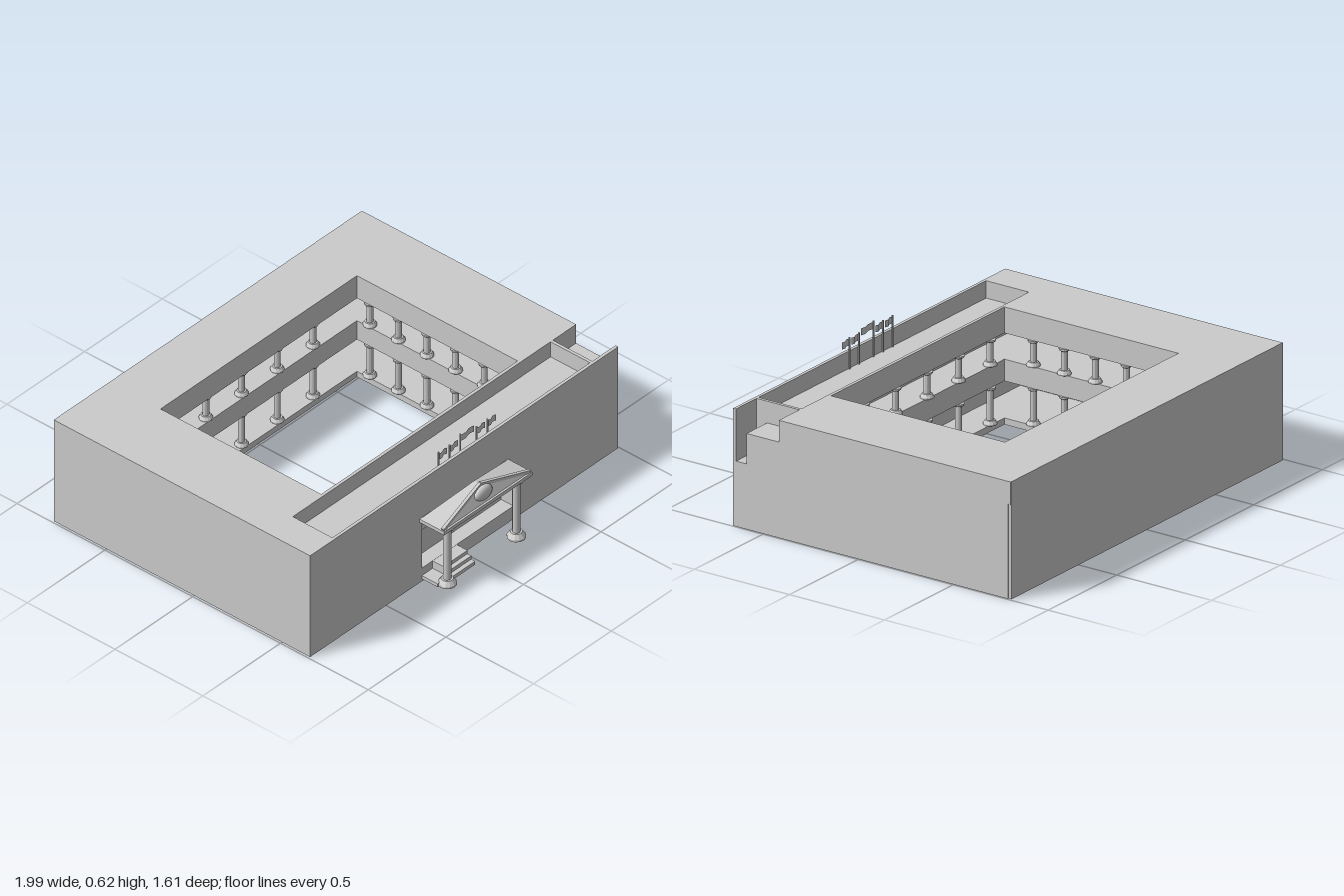
import * as THREE from 'three';
import { ConvexGeometry } from 'three/addons/geometries/ConvexGeometry.js';

const grey = new THREE.MeshStandardMaterial({ color: 0xcccccc, flatShading: true });
const thin = new THREE.MeshStandardMaterial({ color: 0xcccccc, side: THREE.DoubleSide });

function add(parent, name, geometry, material = grey) {
  const mesh = new THREE.Mesh(geometry, material);
  mesh.name = name;
  parent.add(mesh);
  return mesh;
}

// Box given by its limits on each axis
function box(parent, name, x0, x1, y0, y1, z0, z1) {
  const mesh = add(parent, name, new THREE.BoxGeometry(x1 - x0, y1 - y0, z1 - z0));
  mesh.position.set((x0 + x1) / 2, (y0 + y1) / 2, (z0 + z1) / 2);
  return mesh;
}

const points = (list) => list.map(([a, b]) => new THREE.Vector2(a, b));
const rect = (x0, x1, y0, y1) => points([[x0, y0], [x1, y0], [x1, y1], [x0, y1]]);

function extrude(outline, hole, depth) {
  const shape = new THREE.Shape(outline);
  if (hole) shape.holes.push(new THREE.Path(hole));
  return new THREE.ExtrudeGeometry(shape, { depth, bevelEnabled: false });
}

// Horizontal slab around the courtyard, outline given in x and z
function ringSlab(parent, name, outline, y0, y1) {
  const g = extrude(outline, rect(-0.63, 0.635, -0.51, 0.405), y1 - y0);
  g.rotateX(Math.PI / 2).translate(0, y1, 0);
  add(parent, name, g);
}

// Column with flared base and capital, standing from y0 to y1
function column(parent, name, x, z, y0, y1, r, baseR, baseH) {
  const h = y1 - y0;
  const profile = points([
    [0, 0], [baseR, 0], [baseR, baseH * 0.3], [r * 1.5, baseH], [r, baseH],
    [r, h - baseH * 0.7], [r * 1.5, h - baseH * 0.5], [baseR * 0.8, h - baseH * 0.3], [baseR * 0.8, h], [0, h],
  ]);
  add(parent, name, new THREE.LatheGeometry(profile, 12)).position.set(x, y0, z);
}

// Straight bar between two points
function bar(parent, name, a, b, size) {
  const from = new THREE.Vector3(...a), to = new THREE.Vector3(...b);
  const mesh = add(parent, name, new THREE.BoxGeometry(size, size, from.distanceTo(to)));
  mesh.position.copy(from).lerp(to, 0.5);
  mesh.lookAt(to);
}

function buildBuilding() {
  const g = new THREE.Group();
  g.name = 'building';

  // Outer walls
  box(g, 'backWall', -0.99, 0.99, 0, 0.54, -0.8, -0.785);
  box(g, 'rightWall', -0.99, -0.975, 0, 0.54, -0.785, 0.645);
  const side = extrude(points([[-0.645, 0], [0.785, 0], [0.785, 0.54], [-0.42, 0.54], [-0.42, 0.44],
    [-0.59, 0.44], [-0.59, 0.3], [-0.645, 0.3]]), null, 0.015);
  side.rotateY(Math.PI / 2).translate(0.98, 0, 0);
  add(g, 'leftWall', side);
  const front = extrude(rect(-0.99, 0.995, 0, 0.54), rect(-0.27, 0.32, 0.07, 0.3), 0.015);
  add(g, 'frontWall', front.translate(0, 0, 0.645));

  // Floors and roof around the courtyard
  const inner = [-0.978, 0.983];
  ringSlab(g, 'groundFloor', rect(...inner, -0.787, 0.646), 0, 0.03);
  ringSlab(g, 'galleryFloor', rect(...inner, -0.787, 0.575), 0.2, 0.3);
  ringSlab(g, 'frontRoofDeck', points([[-0.978, -0.787], [0.99, -0.787], [0.99, 0.59], [0.84, 0.59],
    [0.84, 0.646], [-0.978, 0.646]]), 0.42, 0.44);
  ringSlab(g, 'mainRoof', rect(-0.989, 0.994, -0.799, 0.42), 0.435, 0.54);

  // Front wing: sunken roof and stepped notch at one end
  box(g, 'sunkenRoof', -0.83, 0.835, 0.44, 0.46, 0.42, 0.645);
  box(g, 'roofEndBlock', -0.989, -0.83, 0.44, 0.54, 0.42, 0.645);
  box(g, 'roofDivider', 0.83, 0.845, 0.43, 0.54, 0.42, 0.645);
  box(g, 'notchSideWall', 0.83, 0.845, 0.3, 0.44, 0.59, 0.645);
  box(g, 'notchFloor', 0.83, 0.985, 0.27, 0.3, 0.575, 0.645);
  box(g, 'lobbyWall', -0.98, 0.985, 0.03, 0.43, 0.57, 0.59);

  // Entrance recess
  box(g, 'entranceFloor', -0.28, 0.33, 0.03, 0.07, 0.59, 0.646);
  box(g, 'entranceCeiling', -0.28, 0.33, 0.3, 0.31, 0.59, 0.646);
  box(g, 'entranceJamb', -0.28, -0.27, 0.07, 0.3, 0.59, 0.646);
  box(g, 'entranceJamb', 0.32, 0.33, 0.07, 0.3, 0.59, 0.646);
  box(g, 'entranceLedge', -0.27, 0.32, 0.205, 0.3, 0.59, 0.6);
  return g;
}

function buildGalleryColumns() {
  const g = new THREE.Group();
  g.name = 'galleryColumns';
  const spots = [];
  for (let i = 0; i < 6; i++) {
    const x = -0.54 + 0.23 * i;
    spots.push([x, 0.415]);
    if (i < 5) spots.push([x, -0.535]);
  }
  for (let i = 0; i < 5; i++) {
    spots.push([-0.643, -0.39 + 0.163 * i]);
    spots.push([0.65, -0.45 + 0.163 * i]);
  }
  for (const [x, z] of spots) {
    column(g, 'lowerColumn', x, z, 0.03, 0.2, 0.015, 0.031, 0.02);
    column(g, 'upperColumn', x, z, 0.3, 0.42, 0.015, 0.031, 0.02);
  }
  return g;
}

function buildPortico() {
  const g = new THREE.Group();
  g.name = 'portico';
  for (const x of [-0.225, 0.22]) {
    column(g, 'porticoColumn', x, 0.765, 0.015, 0.325, 0.018, 0.042, 0.03);
  }
  box(g, 'entablature', -0.285, 0.285, 0.322, 0.34, 0.66, 0.8);

  // Hipped roof behind the pediment
  const hull = [[0, 0.415, 0.72], [0, 0.415, 0.75]];
  for (const x of [-0.285, 0.285]) hull.push([x, 0.34, 0.662], [x, 0.34, 0.79]);
  add(g, 'porticoRoof', new ConvexGeometry(hull.map((p) => new THREE.Vector3(...p))));
  for (const s of [-1, 1]) {
    bar(g, 'rakingCornice', [s * 0.28, 0.342, 0.788], [0, 0.414, 0.752], 0.015);
  }
  const medallion = add(g, 'medallion', new THREE.SphereGeometry(1, 20, 12), thin);
  medallion.scale.set(0.055, 0.037, 0.022);
  medallion.position.set(0, 0.375, 0.77);

  // Steps
  for (let i = 0; i < 3; i++) {
    box(g, 'step', -0.2, -0.045, 0.015 + i * 0.018, 0.033 + i * 0.018, 0.655, 0.765 - i * 0.022);
  }
  box(g, 'bottomStep', -0.27, -0.045, 0.013, 0.03, 0.655, 0.75);
  return g;
}

function buildFlags() {
  const g = new THREE.Group();
  g.name = 'flags';
  for (const x of [-0.14, -0.07, 0, 0.105, 0.175]) {
    const tall = x === 0;
    const top = tall ? 0.625 : 0.605;
    const pole = add(g, 'flagPole', new THREE.CylinderGeometry(0.004, 0.004, top - 0.44, 8));
    pole.position.set(x, (top + 0.44) / 2, 0.64);
    const w = tall ? 0.09 : 0.055;
    const flag = add(g, 'flag', new THREE.PlaneGeometry(w, 0.032, 6, 1), thin);
    // Gentle ripple along the cloth
    const p = flag.geometry.attributes.position;
    for (let i = 0; i < p.count; i++) p.setZ(i, 0.005 * Math.sin((p.getX(i) / w + 0.5) * 6.28));
    flag.geometry.computeVertexNormals();
    flag.position.set(x + w / 2, top - 0.022, 0.64);
  }
  return g;
}

export function createModel() {
  const model = new THREE.Group();
  model.name = 'courtyardBuilding';
  model.add(buildBuilding(), buildGalleryColumns(), buildPortico(), buildFlags());
  return model;
}
